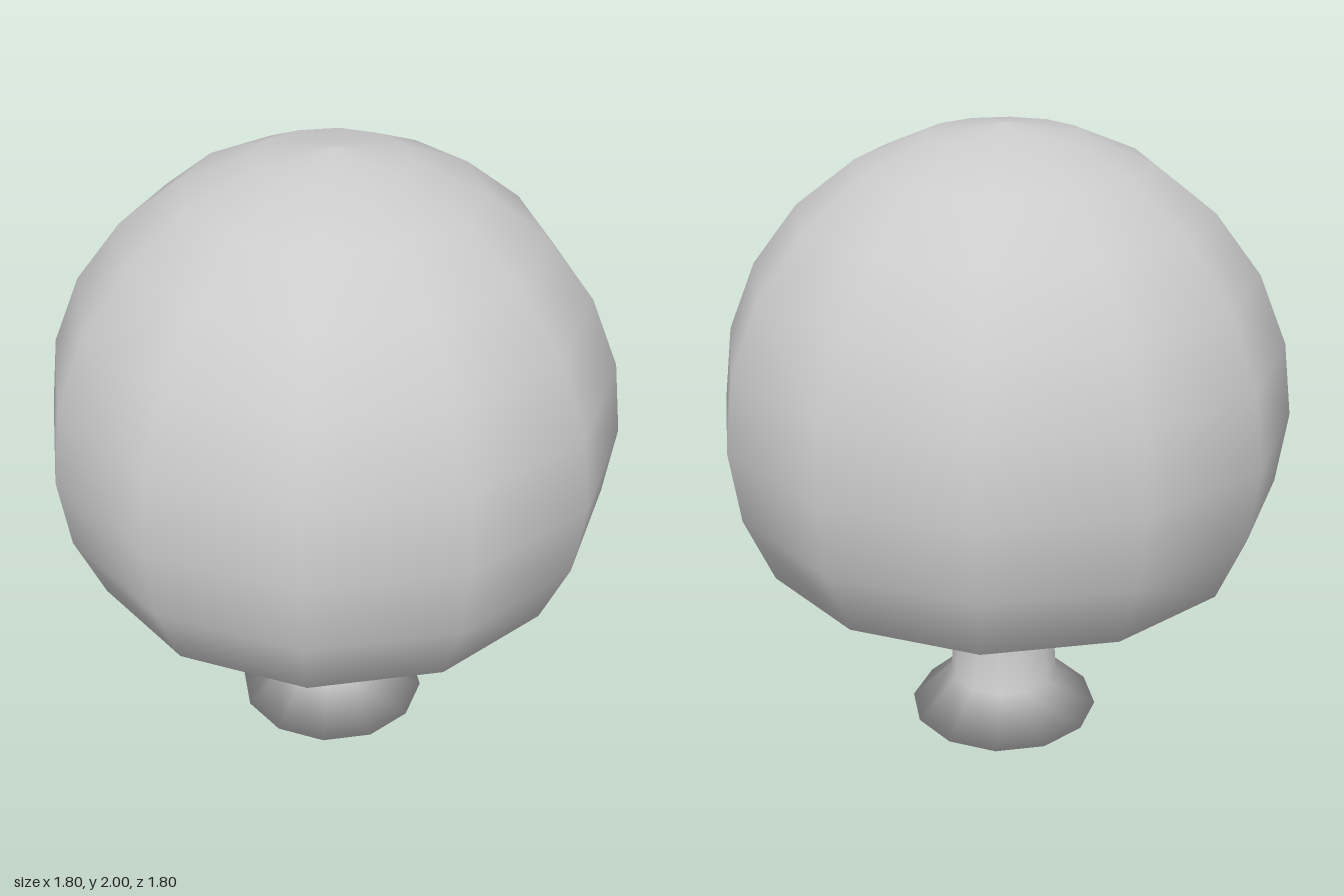
import * as THREE from 'three';

const SIDES = 12;

// Turns a [radius, height] profile into a smooth twelve-sided part
function lathePart(name, profile) {
  const points = profile.map(([r, y]) => new THREE.Vector2(r, y));
  const material = new THREE.MeshStandardMaterial({ color: 0xcccccc, side: THREE.DoubleSide });
  const mesh = new THREE.Mesh(new THREE.LatheGeometry(points, SIDES), material);
  mesh.name = name;
  return mesh;
}

export function createModel() {
  const group = new THREE.Group();
  group.name = 'mushroomTree';

  // Stem: flared foot, tapering shaft, flared collar under the cap
  group.add(lathePart('stem', [
    [0, 0], [0.315, 0], [0.18, 0.13], [0.145, 0.64], [0.3, 0.77], [0, 0.77],
  ]));

  // Cap: hollowed underside, tucked rim, then a round dome
  const underside = [[0, 0.84], [0.42, 0.8], [0.56, 0.7], [0.68, 0.62]];
  const dome = [];
  for (let i = -2; i <= 6; i++) {
    const a = i * Math.PI / 12;
    dome.push([i === 6 ? 0 : 0.9 * Math.cos(a), 1.1 + 0.9 * Math.sin(a)]);
  }
  dome[0][1] = 0.655;
  dome[1][1] = 0.87;
  group.add(lathePart('cap', [...underside, ...dome]));

  return group;
}
